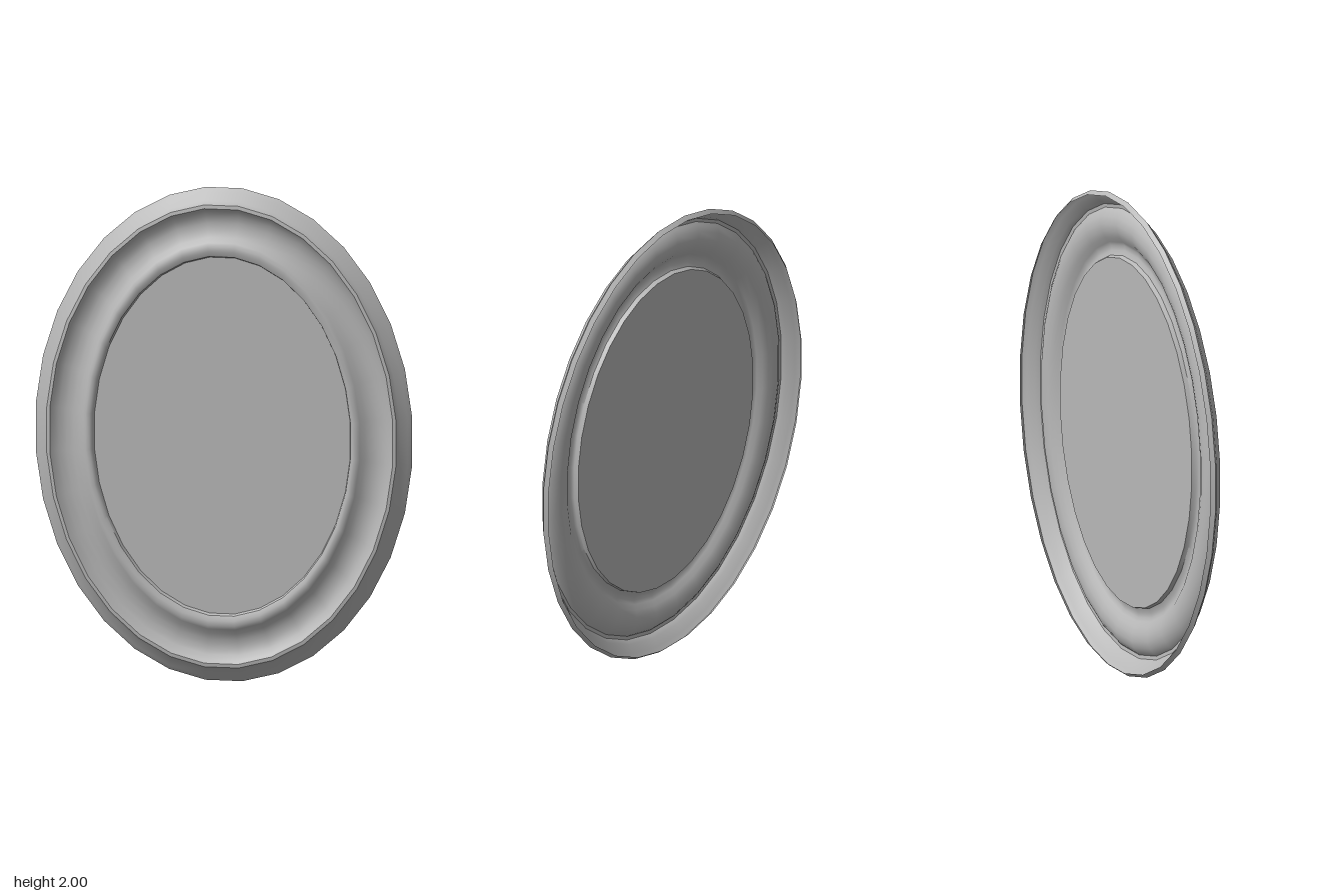
import * as THREE from 'three';
import { toCreasedNormals } from 'three/addons/utils/BufferGeometryUtils.js';

const SIDES = 32;
const FIT = 1 / Math.cos(Math.PI / SIDES);

// Skin a list of oval rings [halfWidth, halfHeight, z], running from outside to inside
function ovalShell(rings, crease) {
  const pos = [], index = [];
  for (const [a, b, z] of rings) {
    for (let i = 0; i < SIDES; i++) {
      const t = ((i + 0.5) / SIDES) * Math.PI * 2;
      pos.push(a * FIT * Math.cos(t), b * FIT * Math.sin(t), z);
    }
  }
  for (let r = 0; r < rings.length - 1; r++) {
    for (let i = 0; i < SIDES; i++) {
      const j = (i + 1) % SIDES;
      const o0 = r * SIDES + i, o1 = r * SIDES + j;
      const n0 = o0 + SIDES, n1 = o1 + SIDES;
      index.push(o0, o1, n1, o0, n1, n0);
    }
  }
  const g = new THREE.BufferGeometry();
  g.setAttribute('position', new THREE.Float32BufferAttribute(pos, 3));
  g.setIndex(index);
  return toCreasedNormals(g, crease);
}

function ovalFace(a, b, sides) {
  const g = new THREE.CircleGeometry(1, sides, Math.PI / sides);
  g.scale(a, b, 1);
  return g;
}

export function createModel() {
  const model = new THREE.Group();
  model.name = 'ovalFrame';
  const grey = new THREE.MeshStandardMaterial({ color: 0xb8b8b8, side: THREE.DoubleSide });
  grey.name = 'plain grey';

  const add = (name, geometry, z = 0) => {
    const mesh = new THREE.Mesh(geometry, grey);
    mesh.name = name;
    mesh.position.set(0, 1, z);
    model.add(mesh);
  };

  // Moulding: thin rim, outer bevel, ridge, hollow cove, inner bead
  add('moulding', ovalShell([
    [0.752, 0.985, -0.04],
    [0.765, 1.0, -0.023],
    [0.75, 0.983, -0.008],
    [0.722, 0.95, 0.012],
    [0.71, 0.937, 0.03],
    [0.697, 0.922, 0.032],
    [0.688, 0.912, 0.022],
    [0.665, 0.89, 0.008],
    [0.635, 0.86, 0.0],
    [0.605, 0.83, 0.004],
    [0.58, 0.803, 0.014],
    [0.562, 0.783, 0.028],
    [0.55, 0.768, 0.036],
    [0.535, 0.748, 0.036],
    [0.525, 0.728, 0.028],
    [0.52, 0.722, 0.01],
  ], 0.7));

  // Flat panel with a raised thin oval plate on its front
  add('panel', ovalFace(0.52 * FIT, 0.722 * FIT, SIDES), 0.01);
  add('panelPlate', ovalFace(0.457, 0.653, 64), 0.013);

  return model;
}
